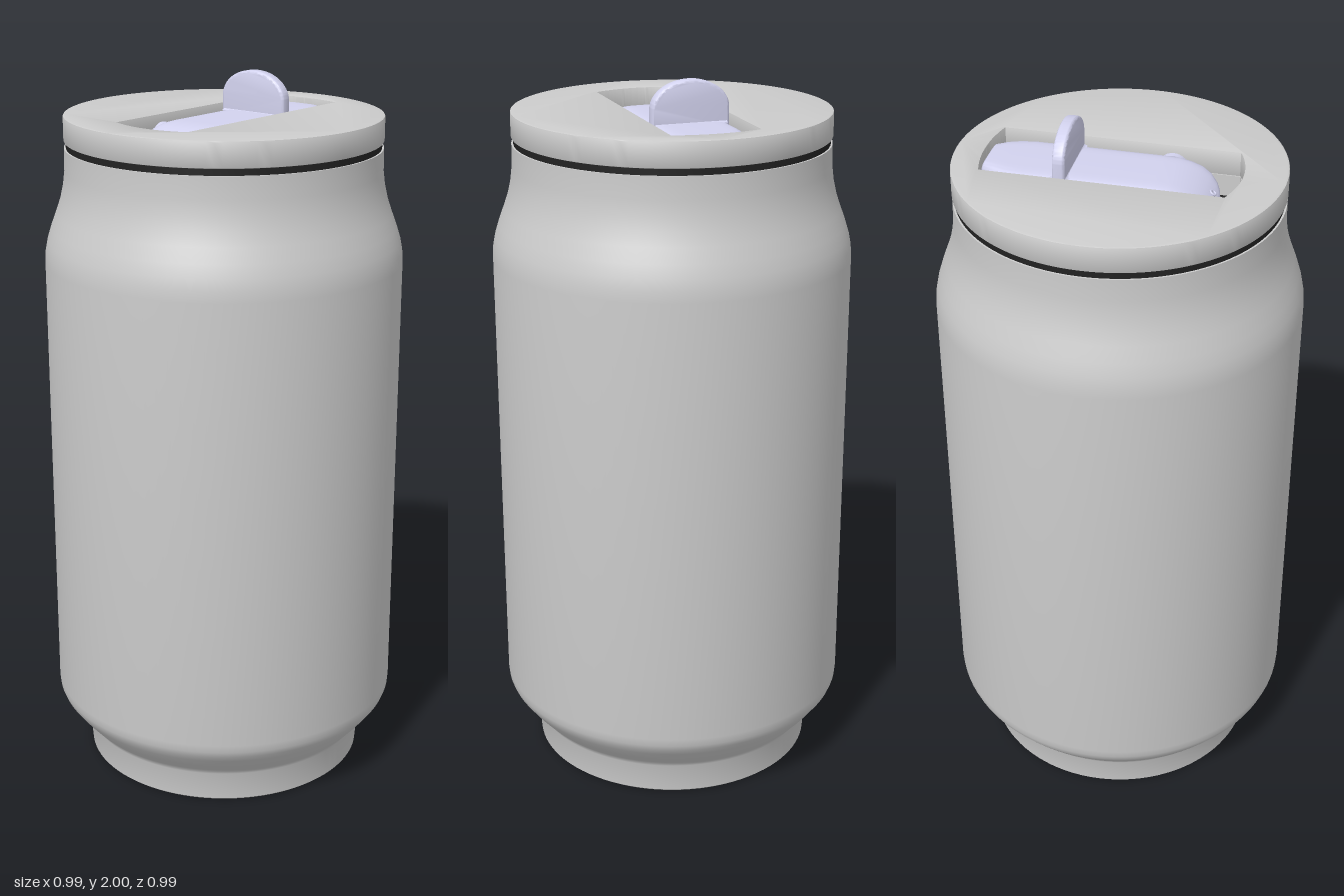
import * as THREE from 'three';
import { toCreasedNormals } from 'three/addons/utils/BufferGeometryUtils.js';

const grey = new THREE.MeshStandardMaterial({ color: 0xcccccc });
const dark = new THREE.MeshStandardMaterial({ color: 0x222222 });
const lilac = new THREE.MeshStandardMaterial({ color: 0xd2d2ee });

function add(group, name, geometry, material) {
  const mesh = new THREE.Mesh(geometry, material);
  mesh.name = name;
  group.add(mesh);
  return mesh;
}

const lathe = (points) =>
  toCreasedNormals(new THREE.LatheGeometry(points.map(([r, y]) => new THREE.Vector2(r, y)), 96), 0.6);

// Disc pierced by the spout slot, whose ends bow outwards
function slottedDisc(radius, bottom, height, bevel) {
  const shape = new THREE.Shape().absarc(0, 0, radius, 0, Math.PI * 2, false);
  const slot = new THREE.Path();
  slot.moveTo(-0.121, -0.295);
  slot.lineTo(-0.121, 0.343);
  slot.quadraticCurveTo(0, 0.377, 0.121, 0.343);
  slot.lineTo(0.121, -0.295);
  slot.quadraticCurveTo(0, -0.349, -0.121, -0.295);
  shape.holes.push(slot);
  const geo = new THREE.ExtrudeGeometry(shape, {
    depth: height - 2 * bevel, curveSegments: 64, bevelEnabled: bevel > 0,
    bevelSize: bevel, bevelThickness: bevel, bevelOffset: -bevel, bevelSegments: 2,
  });
  geo.rotateX(-Math.PI / 2).translate(0, bottom + bevel, 0);
  return toCreasedNormals(geo, 0.6);
}

// Lofts rounded-box sections [z, halfWidth, topY] along z
function leverGeometry(sections, bottom) {
  const n = 48, pos = [], index = [];
  const power = (v) => Math.sign(v) * Math.abs(v) ** 0.35;
  for (const [z, w, top] of sections) {
    for (let j = 0; j < n; j++) {
      const a = (j / n) * Math.PI * 2;
      pos.push(w * power(Math.cos(a)), (top + bottom) / 2 + ((top - bottom) / 2) * power(Math.sin(a)), z);
    }
  }
  const last = sections.length - 1;
  for (let i = 0; i < last; i++) {
    for (let j = 0; j < n; j++) {
      const a = i * n + j, b = i * n + ((j + 1) % n);
      index.push(a, b, a + n, b, b + n, a + n);
    }
  }
  // End caps
  const c = pos.length / 3;
  pos.push(0, (sections[0][2] + bottom) / 2, sections[0][0]);
  pos.push(0, (sections[last][2] + bottom) / 2, sections[last][0]);
  for (let j = 0; j < n; j++) {
    const k = (j + 1) % n;
    index.push(c, k, j, c + 1, last * n + j, last * n + k);
  }
  const geo = new THREE.BufferGeometry();
  geo.setAttribute('position', new THREE.Float32BufferAttribute(pos, 3));
  geo.setIndex(index);
  return toCreasedNormals(geo, 0.7);
}

export function createModel() {
  const model = new THREE.Group();
  model.name = 'drinkCan';

  // Can body with a narrow foot, bevelled base and curved shoulder
  add(model, 'body', lathe([
    [0, 0.012], [0.19, 0.012], [0.2, 0.006], [0.22, 0.006], [0.23, 0.002], [0.395, 0], [0.402, 0.006],
    [0.409, 0.09], [0.413, 0.1], [0.425, 0.112], [0.45, 0.14], [0.472, 0.168], [0.488, 0.19], [0.495, 0.208], [0.497, 0.23],
    [0.497, 1.5], [0.495, 1.53], [0.489, 1.56], [0.478, 1.595], [0.463, 1.635], [0.451, 1.67],
    [0.442, 1.71], [0.437, 1.75], [0.436, 1.812], [0.41, 1.812],
  ]), grey);

  // Dark seal between body and lid
  add(model, 'seal', lathe([[0.405, 1.808], [0.431, 1.81], [0.431, 1.832], [0.405, 1.834]]), dark);

  // Lid, its lower plug and the dark floor of the recess
  const lid = new THREE.Group();
  lid.name = 'lid';
  model.add(lid);
  add(lid, 'lidTop', slottedDisc(0.437, 1.83, 0.07, 0.004), grey);
  add(lid, 'lidPlug', slottedDisc(0.415, 1.76, 0.07, 0), grey);
  add(lid, 'recessFloor', new THREE.CylinderGeometry(0.4, 0.4, 0.01, 64), dark).position.y = 1.765;

  // Flip-up spout lever
  const spout = new THREE.Group();
  spout.name = 'spout';
  model.add(spout);
  add(spout, 'lever', leverGeometry([
    [-0.355, 0.064, 1.878], [-0.35, 0.07, 1.884], [-0.32, 0.087, 1.887], [-0.29, 0.1, 1.887], [-0.25, 0.108, 1.887],
    [0.1, 0.108, 1.887], [0.14, 0.108, 1.885], [0.17, 0.108, 1.879], [0.2, 0.106, 1.868],
    [0.225, 0.094, 1.855], [0.245, 0.072, 1.84], [0.256, 0.048, 1.828], [0.261, 0.025, 1.82],
  ], 1.785), lilac);

  // Thumb tab with a domed top
  const tab = new THREE.Shape();
  tab.moveTo(-0.108, 1.865);
  tab.lineTo(0.108, 1.865);
  tab.lineTo(0.108, 1.925);
  tab.absellipse(0, 1.925, 0.108, 0.075, 0, Math.PI, false);
  tab.closePath();
  const tabGeo = new THREE.ExtrudeGeometry(tab, {
    depth: 0.018, curveSegments: 32, bevelSize: 0.008, bevelOffset: -0.008, bevelThickness: 0.008, bevelSegments: 4,
  });
  add(spout, 'thumbTab', toCreasedNormals(tabGeo, 0.7), lilac).position.z = -0.146;

  // Flared foot of the thumb tab
  const foot = new THREE.Shape();
  foot.moveTo(-0.012, 0);
  foot.quadraticCurveTo(0, 0, 0, 0.016);
  foot.lineTo(0.028, 0.016);
  foot.quadraticCurveTo(0.028, 0, 0.04, 0);
  const footGeo = new THREE.ExtrudeGeometry(foot, { depth: 0.2, bevelEnabled: false });
  footGeo.rotateY(-Math.PI / 2).translate(0.1, 1.884, -0.151);
  add(spout, 'tabFoot', footGeo, lilac);

  // Hinge pins on both sides
  for (const side of [-1, 1]) {
    const pin = add(spout, 'hingePin', new THREE.CylinderGeometry(0.043, 0.043, 0.016, 32), lilac);
    pin.rotation.z = Math.PI / 2;
    pin.position.set(side * 0.113, 1.835, 0.117);
  }

  // Small drinking outlet on the nose
  const outlet = add(spout, 'outlet', new THREE.TorusGeometry(0.008, 0.003, 8, 24), lilac);
  outlet.rotation.x = -0.95;
  outlet.position.set(0, 1.841, 0.246);

  return model;
}
